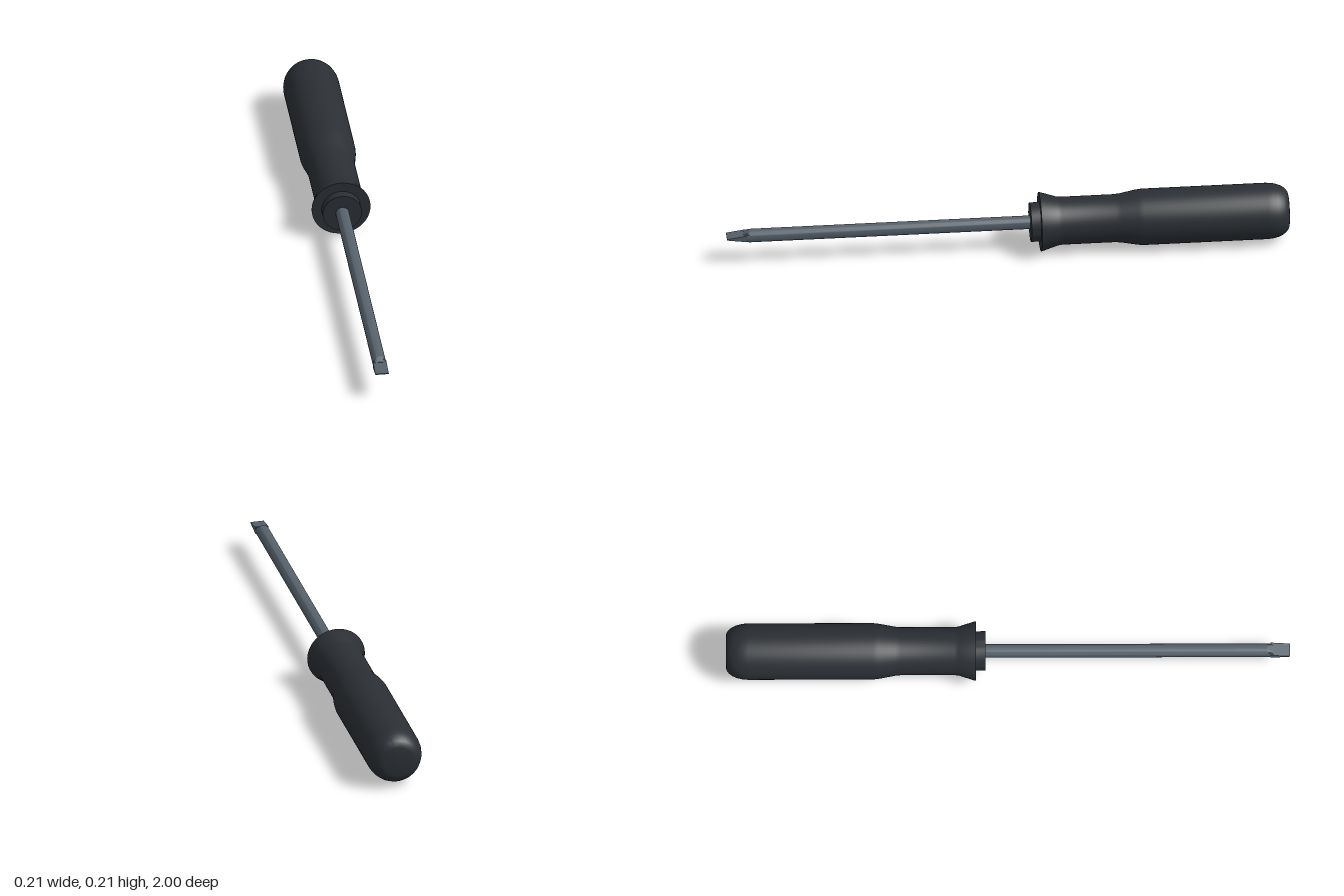
import * as THREE from 'three';
import { toCreasedNormals } from 'three/addons/utils/BufferGeometryUtils.js';

const AXIS_Y = 0.105;
const SHAFT_R = 0.024;
const grip = new THREE.MeshStandardMaterial({ color: 0x2b2f34 });
const steel = new THREE.MeshStandardMaterial({ color: 0x56616b });

function add(group, name, geometry, material, crease = 0.6) {
  const mesh = new THREE.Mesh(toCreasedNormals(geometry, crease), material);
  mesh.name = name;
  mesh.position.y = AXIS_Y;
  group.add(mesh);
}

// Revolve [radius, z] pairs around the z axis, listed from back to front
function turned(profile, sides) {
  const points = profile.map(([r, z]) => new THREE.Vector2(r, z));
  return new THREE.LatheGeometry(points, sides).rotateX(Math.PI / 2);
}

export function createModel() {
  const group = new THREE.Group();
  group.name = 'screwdriver';

  // Handle: rounded butt, thick grip, slim neck and flared guard
  const profile = [[0, -1]];
  for (let i = 0; i <= 6; i++) {
    const a = (i / 6) * Math.PI / 2;
    profile.push([0.055 + 0.045 * Math.sin(a), -0.92 - 0.08 * Math.cos(a)]);
  }
  profile.push([0.1, -0.48], [0.098, -0.46], [0.087, -0.40], [0.085, -0.38],
    [0.085, -0.19], [0.087, -0.175], [0.105, -0.118], [0.105, -0.114], [0, -0.114]);
  add(group, 'handle', turned(profile, 48), grip);

  // Collar in front of the guard
  add(group, 'collar', turned([[0, -0.12], [0.07, -0.12], [0.07, -0.08], [0, -0.08]], 48), grip);

  // Round shaft, its last ring flattened above and below where the blade starts
  const shaft = new THREE.CylinderGeometry(SHAFT_R, SHAFT_R, 1.03, 32, 2).rotateX(Math.PI / 2);
  shaft.translate(0, 0, 0.425);
  const p = shaft.attributes.position;
  for (let i = 0; i < p.count; i++) {
    if (p.getZ(i) > 0.9) p.setY(i, THREE.MathUtils.clamp(p.getY(i), -0.0125, 0.0125));
    else if (p.getZ(i) > 0.2) p.setZ(i, 0.92);
  }
  add(group, 'shaft', shaft, steel, 0.4);

  // Flat blade tapering to a thin straight edge
  const blade = new THREE.BoxGeometry(SHAFT_R * 2, 0.025, 0.07).translate(0, 0, 0.965);
  const b = blade.attributes.position;
  for (let i = 0; i < b.count; i++) {
    if (b.getZ(i) > 0.99) b.setY(i, Math.sign(b.getY(i)) * 0.002);
  }
  add(group, 'blade', blade, steel, 0.1);

  return group;
}
